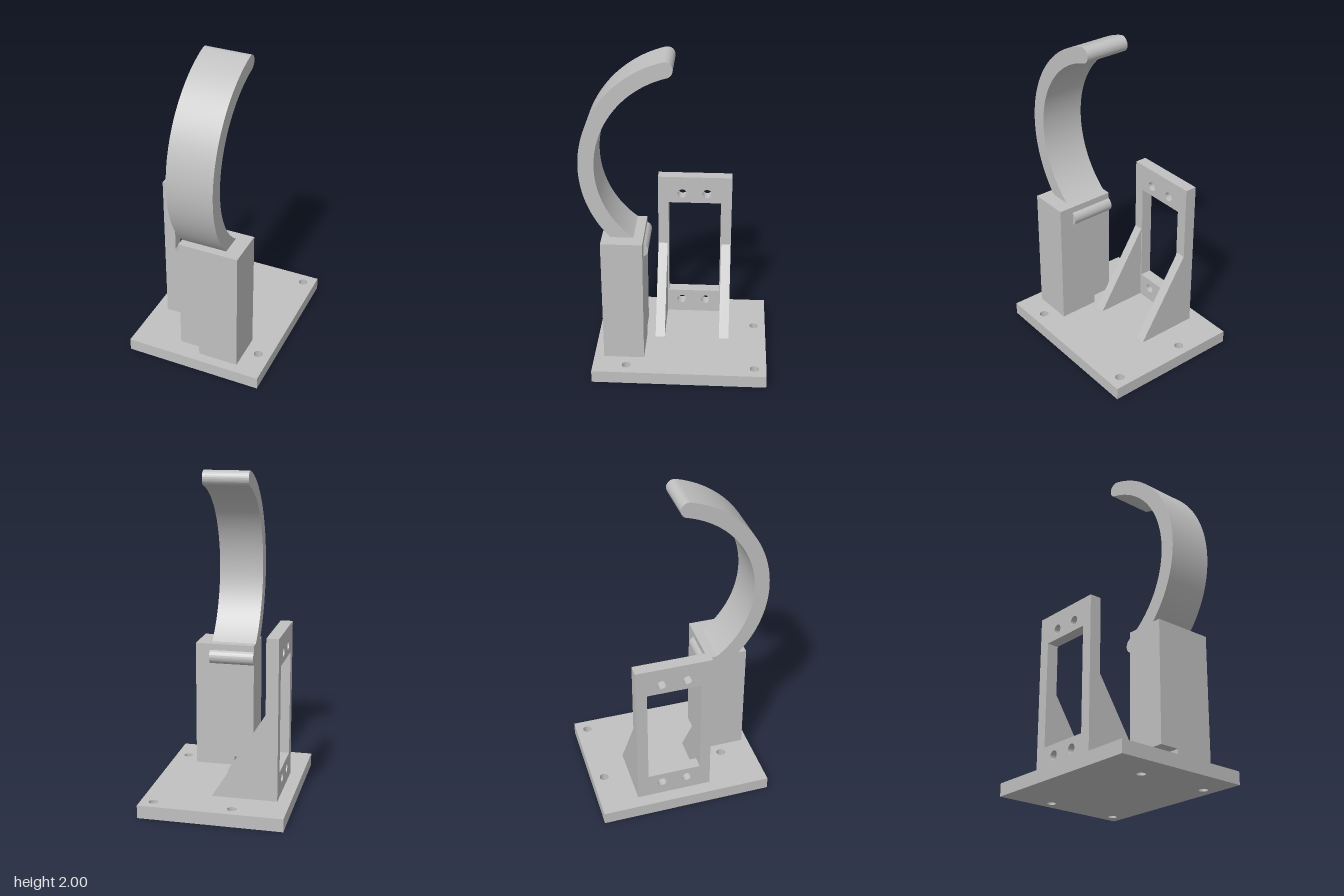
import * as THREE from 'three';
import { toCreasedNormals } from 'three/addons/utils/BufferGeometryUtils.js';

const rad = THREE.MathUtils.degToRad;

function polygon(points) {
  return new THREE.Shape(points.map(([a, b]) => new THREE.Vector2(a, b)));
}

function addHole(shape, a, b, r) {
  const hole = new THREE.Path();
  hole.absarc(a, b, r, 0, Math.PI * 2, true);
  shape.holes.push(hole);
}

function extrude(shape, depth) {
  return new THREE.ExtrudeGeometry(shape, { depth, bevelEnabled: false, curveSegments: 40 });
}

// Extrude a (z, y) profile along x
function extrudeX(shape, x0, x1) {
  return extrude(shape, x1 - x0).rotateY(-Math.PI / 2).translate(x1, 0, 0);
}

// Extrude an (x, y) profile along z
function extrudeZ(shape, z0, z1) {
  return extrude(shape, z1 - z0).translate(0, 0, z0);
}

export function createModel() {
  const model = new THREE.Group();
  const grey = new THREE.MeshStandardMaterial({ color: 0xc0c0c0 });
  grey.name = 'grey';

  const add = (name, geometry) => {
    const mesh = new THREE.Mesh(toCreasedNormals(geometry, rad(35)), grey);
    mesh.name = name;
    model.add(mesh);
  };

  // Base plate with four screw holes; the profile is (x, -z)
  const base = polygon([[-0.44, -0.51], [0.44, -0.51], [0.44, 0.575], [-0.44, 0.575]]);
  for (const x of [-0.12, 0.36]) for (const z of [-0.5, 0.3]) addHole(base, x, -z, 0.028);
  add('basePlate', extrude(base, 0.08).rotateX(-Math.PI / 2));

  // Upright mounting frame with a window and four screw holes
  const frame = polygon([[-0.335, 0.08], [0.14, 0.08], [0.14, 1.08], [-0.335, 1.08]]);
  frame.holes.push(polygon([[-0.265, 0.24], [-0.265, 0.9], [0.072, 0.9], [0.072, 0.24]]));
  for (const z of [-0.175, -0.015]) for (const y of [0.172, 0.965]) addHole(frame, z, y, 0.029);
  add('mountingFrame', extrudeX(frame, -0.36, -0.285));

  // Triangular gussets bracing both sides of the frame
  const gusset = polygon([[-0.285, 0.08], [0.04, 0.08], [-0.285, 0.6]]);
  add('backGusset', extrudeZ(gusset, -0.335, -0.273));
  add('frontGusset', extrudeZ(gusset, 0.08, 0.14));

  // Tower block, notched at the bottom beside the frame
  const tower = polygon([
    [0.02, 0.08], [0.275, 0.08], [0.275, 0.89], [-0.105, 0.89], [-0.105, 0.138], [0.02, 0.138],
  ]);
  add('tower', extrudeZ(tower, 0.195, 0.448));

  // Curved arm with rounded ends; its lower end pokes out behind the tower
  const cz = -0.099, cy = 1.348, outer = 0.674, inner = 0.579;
  const mid = (outer + inner) / 2, tip = (outer - inner) / 2;
  const low = rad(-60), high = rad(75);
  const arm = new THREE.Shape();
  arm.absarc(cz, cy, outer, low, high, false);
  arm.absarc(cz + mid * Math.cos(high), cy + mid * Math.sin(high), tip, high, high + Math.PI, false);
  arm.absarc(cz, cy, inner, high, low, true);
  arm.absarc(cz + mid * Math.cos(low), cy + mid * Math.sin(low), tip, low + Math.PI, low + 2 * Math.PI, false);
  add('curvedArm', extrudeX(arm, -0.105, 0.182));

  return model;
}
